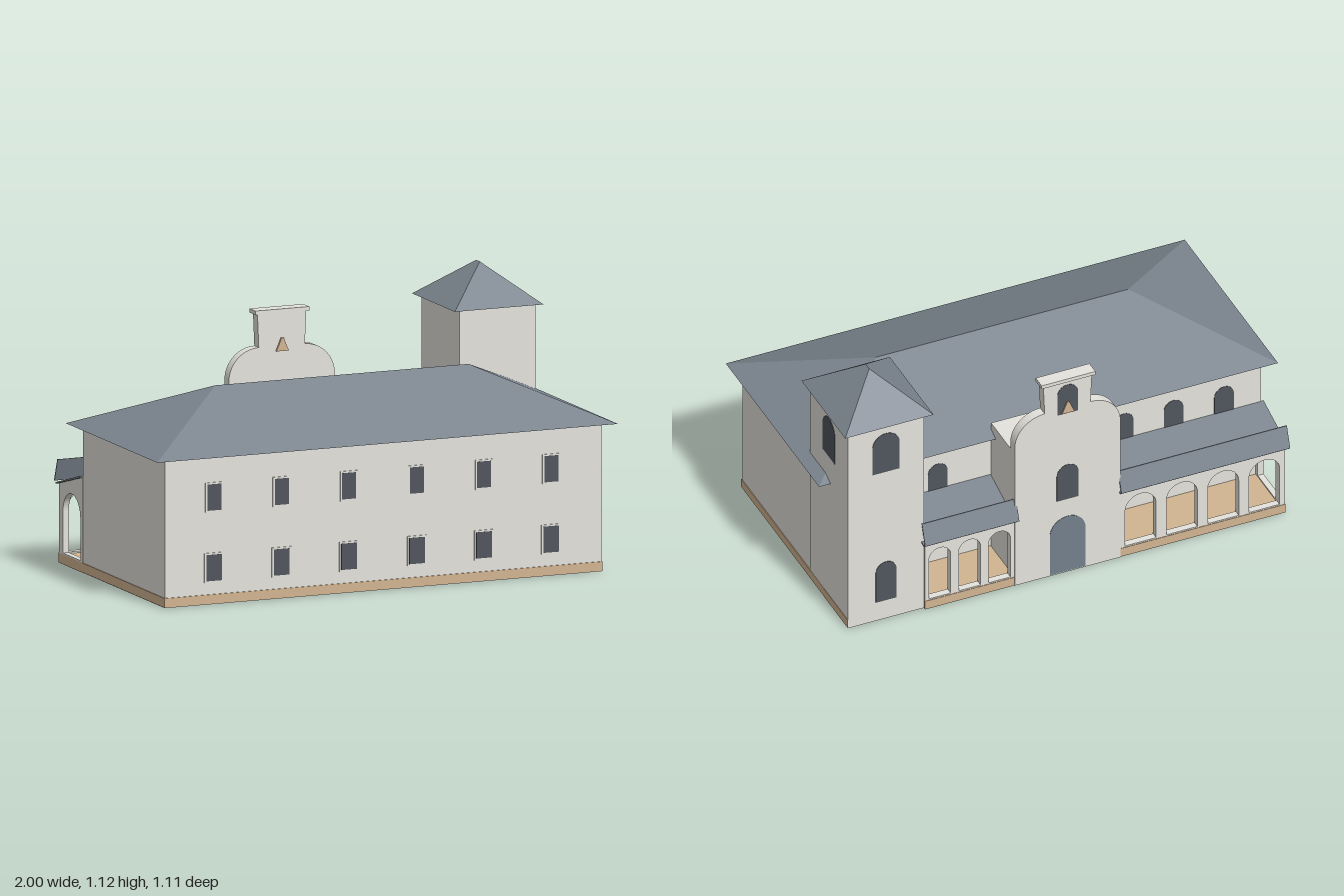
import * as THREE from 'three';

const mat = (name, color) => {
  const m = new THREE.MeshStandardMaterial({ color });
  m.name = name;
  return m;
};

export function createModel() {
  const root = new THREE.Group();
  const wall = mat('stucco', 0xe5e3dc);
  const roof = mat('slate', 0x7c858f);
  const glass = mat('dark glass', 0x50555d);
  const tan = mat('tan stone', 0xd2b592);
  const doorMat = mat('door grey', 0x74808c);

  const add = (name, geo, material) => {
    const m = new THREE.Mesh(geo, material);
    m.name = name;
    root.add(m);
    return m;
  };
  // Box given by its limits
  const box = (name, material, x0, x1, y0, y1, z0, z1) => {
    const m = add(name, new THREE.BoxGeometry(x1 - x0, y1 - y0, z1 - z0), material);
    m.position.set((x0 + x1) / 2, (y0 + y1) / 2, (z0 + z1) / 2);
    return m;
  };
  // Box whose top is drawn in to a ridge
  const hipRoof = (name, x0, x1, y0, y1, z0, z1, rx0, rx1, rz0, rz1) => {
    const g = new THREE.BoxGeometry(1, 1, 1).toNonIndexed();
    const p = g.attributes.position;
    for (let i = 0; i < p.count; i++) {
      const top = p.getY(i) > 0, right = p.getX(i) > 0, front = p.getZ(i) > 0;
      p.setXYZ(i,
        top ? (right ? rx1 : rx0) : (right ? x1 : x0),
        top ? y1 : y0,
        top ? (front ? rz1 : rz0) : (front ? z1 : z0));
    }
    g.computeVertexNormals();
    return add(name, g, roof);
  };
  const polygon = (points) => new THREE.Shape(points.map(([x, y]) => new THREE.Vector2(x, y)));
  // Round-headed outline
  const arch = (path, cx, w, y0, y1) => {
    const r = w / 2;
    path.moveTo(cx - r, y0);
    path.lineTo(cx + r, y0);
    path.lineTo(cx + r, y1 - r);
    path.absarc(cx, y1 - r, r, 0, Math.PI, false);
    path.lineTo(cx - r, y0);
    return path;
  };
  const extrude = (shape, depth) =>
    new THREE.ExtrudeGeometry(shape, { depth, bevelEnabled: false, curveSegments: 12 });
  const archPlate = (name, cx, w, y0, y1, z, material = glass) => {
    const m = add(name, extrude(arch(new THREE.Shape(), cx, w, y0, y1), 0.006), material);
    m.position.z = z - 0.0015;
    return m;
  };
  // Profile in (-z, y) swept along x
  const sweepX = (name, shape, x0, x1, material) => {
    const m = add(name, extrude(shape, x1 - x0), material);
    m.rotation.y = Math.PI / 2;
    m.position.x = x0;
    return m;
  };

  // Main hall and its stone base
  box('mainHall', wall, -0.948, 0.948, 0, 0.602, -0.3, 0.506);
  box('baseBand', tan, -0.951, 0.951, 0.002, 0.04, -0.3, 0.51);
  hipRoof('mainRoof', -1, 1, 0.6, 0.798, -0.35, 0.55, -0.55, 0.55, 0.1, 0.1);

  // Two rows of front windows in raised frames
  for (const x of [-0.735, -0.442, -0.15, 0.145, 0.436, 0.728]) {
    for (const [y, w] of [[0.148, 0.068], [0.433, 0.06]]) {
      box('windowFrame', wall, x - w / 2 - 0.008, x + w / 2 + 0.008, y - 0.06, y + 0.06, 0.5, 0.51);
      box('frontWindow', glass, x - w / 2, x + w / 2, y - 0.053, y + 0.053, 0.505, 0.511);
    }
  }

  // Corner tower
  box('tower', wall, 0.62, 0.95, 0, 0.966, -0.52, -0.15);
  box('towerBase', tan, 0.9, 0.952, 0.002, 0.04, -0.519, -0.29);
  hipRoof('towerRoof', 0.59, 0.975, 0.965, 1.12, -0.547, -0.125, 0.783, 0.783, -0.353, -0.318);
  archPlate('towerBackWindow', 0.785, 0.118, 0.725, 0.915, -0.52);
  archPlate('towerLowerWindow', 0.785, 0.09, 0.09, 0.28, -0.52);
  sweepX('towerSideWindow', arch(new THREE.Shape(), 0.335, 0.118, 0.725, 0.915), 0.946, 0.9515, glass);

  // Entrance block with curved gable
  box('entranceBlock', wall, -0.23, 0.23, 0, 0.65, -0.5, -0.305);
  const gable = new THREE.Shape();
  gable.moveTo(-0.23, 0);
  gable.lineTo(0.23, 0);
  gable.lineTo(0.23, 0.68);
  gable.absarc(0.1, 0.68, 0.13, 0, Math.PI / 2, false);
  gable.lineTo(0.106, 0.95);
  gable.lineTo(-0.106, 0.95);
  gable.lineTo(-0.1, 0.81);
  gable.absarc(-0.1, 0.68, 0.13, Math.PI / 2, Math.PI, false);
  add('gable', extrude(gable, 0.044), wall).position.z = -0.534;
  box('gableCap', wall, -0.117, 0.117, 0.944, 0.96, -0.543, -0.485);
  archPlate('entranceDoor', 0, 0.155, 0.005, 0.275, -0.534, doorMat);
  archPlate('gableWindow', 0, 0.095, 0.36, 0.53, -0.534);
  archPlate('bellNiche', 0, 0.09, 0.785, 0.925, -0.534);
  // Bell showing on both faces of the gable
  const bell = polygon([[-0.027, 0.79], [0.027, 0.79], [0.012, 0.825], [0.005, 0.843], [-0.005, 0.843], [-0.012, 0.825]]);
  add('bell', extrude(bell, 0.06), tan).position.z = -0.541;

  // Arcaded porches on both sides of the entrance
  const porch = (x0, x1, count, w, roofX0, roofX1) => {
    box('porchFloor', tan, x0, x1, 0, 0.04, -0.532, -0.3);
    const s = polygon([[x0, 0.04], [x1, 0.04], [x1, 0.322], [x0, 0.322]]);
    const pitch = (x1 - x0) / count;
    for (let i = 0; i < count; i++)
      s.holes.push(arch(new THREE.Path(), x0 + pitch * (i + 0.5), w, 0.046, 0.285));
    add('arcade', extrude(s, 0.03), wall).position.z = -0.53;
    // Lean-to rising to the wall, with a steep skirt in front
    sweepX('porchRoof', polygon([[0.542, 0.318], [0.542, 0.324], [0.298, 0.393], [0.298, 0.385]]), roofX0, roofX1, roof);
    sweepX('porchSkirt', polygon([[0.556, 0.33], [0.524, 0.42], [0.52, 0.42], [0.551, 0.329]]), roofX0, roofX1, roof);
  };
  porch(-0.95, -0.23, 4, 0.135, -0.96, -0.225);
  porch(0.23, 0.62, 3, 0.095, 0.22, 0.63);

  // Open end of the longer porch
  const end = polygon([[0.3, 0.04], [0.53, 0.04], [0.53, 0.322], [0.3, 0.386]]);
  end.holes.push(arch(new THREE.Path(), 0.405, 0.17, 0.046, 0.3));
  sweepX('porchEndArch', end, -0.95, -0.925, wall);

  // Round-headed windows along the back wall
  for (const x of [-0.787, -0.567, -0.35, 0.46]) {
    archPlate('backUpperWindow', x, 0.085, 0.375, 0.515, -0.3);
    archPlate('backLowerWindow', x, 0.085, 0.1, 0.25, -0.3);
  }
  return root;
}
